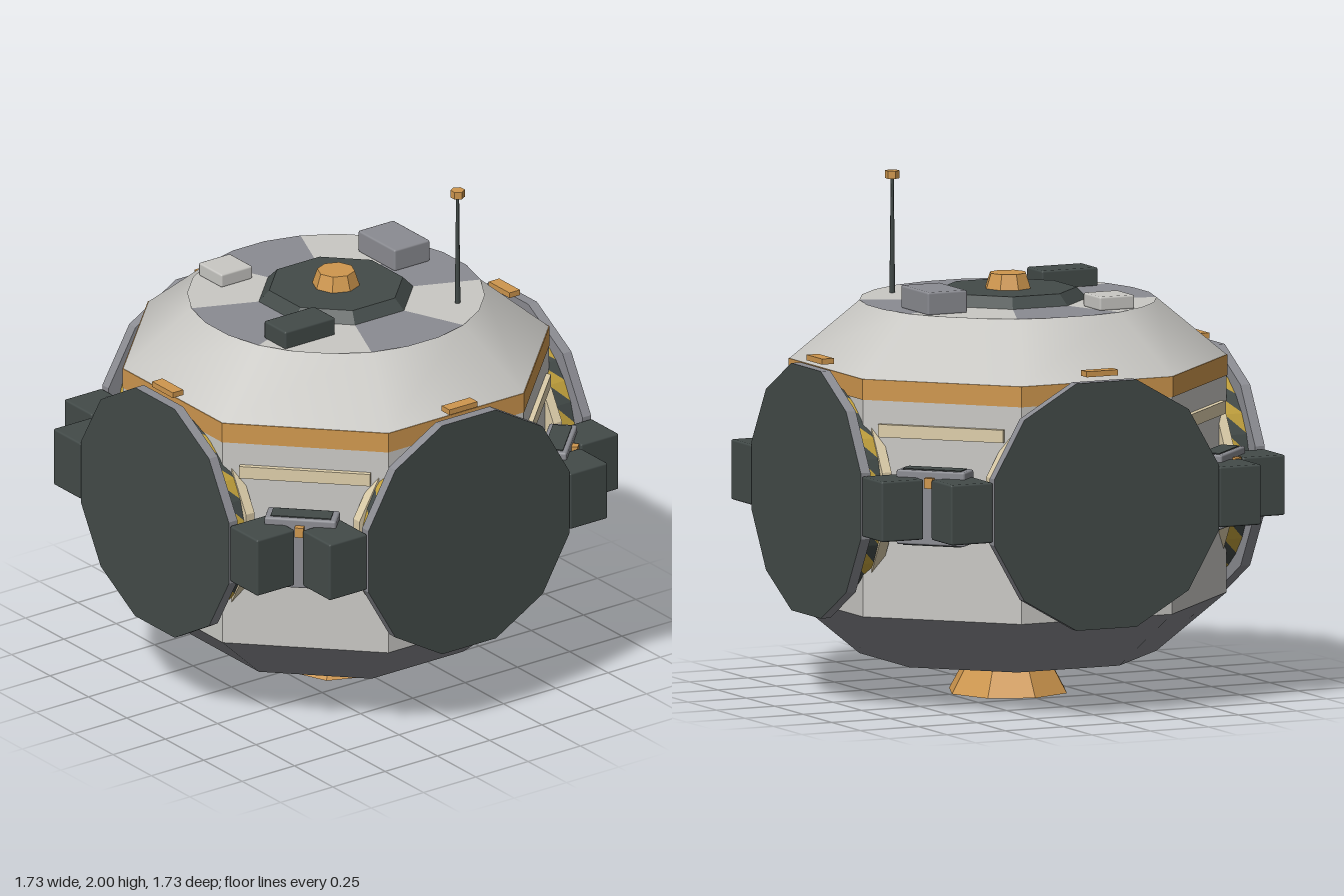
import * as THREE from 'three';
import { RoundedBoxGeometry } from 'three/addons/geometries/RoundedBoxGeometry.js';

const material = (name, color) => {
  const m = new THREE.MeshStandardMaterial({ color });
  m.name = name;
  return m;
};

export function createModel() {
  const light = material('lightGrey', 0xc9c8c4);
  const grey = material('midGrey', 0x8b8c92);
  const dark = material('charcoal', 0x434b49);
  const orange = material('orange', 0xcf974e);
  const beige = material('beige', 0xddceaa);
  const yellow = material('yellow', 0xc2a13c);

  const model = new THREE.Group();
  model.name = 'spaceModule';

  const add = (parent, name, geometry, mat, x = 0, y = 0, z = 0) => {
    const mesh = new THREE.Mesh(geometry, mat);
    mesh.name = name;
    mesh.position.set(x, y, z);
    parent.add(mesh);
    return mesh;
  };
  const flat = (geometry) => {
    const g = geometry.toNonIndexed();
    g.computeVertexNormals();
    // keep material groups of the indexed source
    geometry.groups.forEach((s) => g.groups.length < geometry.groups.length && g.addGroup(s.start, s.count, s.materialIndex));
    return g;
  };
  const box = (w, h, d) => new RoundedBoxGeometry(w, h, d, 1, 0.008);

  // Octagonal tier given by its flat-to-centre distances, flats facing x and z
  const K = 1 / Math.cos(Math.PI / 8);
  const tier = (top, bottom, y0, y1, open = true) => {
    const g = new THREE.CylinderGeometry(top * K, bottom * K, y1 - y0, 8, 1, open, Math.PI / 8);
    return g.translate(0, (y0 + y1) / 2, 0);
  };

  // Hull
  add(model, 'hullWall', flat(tier(0.78, 0.78, 0.375, 1.22)), light);
  add(model, 'hullBand', flat(tier(0.783, 0.783, 1.22, 1.3, false)), orange);
  add(model, 'upperCone', tier(0.53, 0.78, 1.3, 1.525), light);
  add(model, 'lowerCone', tier(0.78, 0.53, 0.15, 0.375), grey);
  const floor = new THREE.CircleGeometry(0.53 * K, 8, Math.PI / 8).rotateX(Math.PI / 2);
  add(model, 'hullFloor', floor, dark, 0, 0.15, 0);

  // Roof of alternating sectors
  for (let i = 0; i < 8; i++) {
    const sector = new THREE.CircleGeometry(0.53 * K, 1, -Math.PI / 8 + (i * Math.PI) / 4, Math.PI / 4);
    add(model, 'roofSector', sector.rotateX(-Math.PI / 2), i % 2 ? light : grey, 0, 1.525, 0);
  }

  // Roof hatch, knob and engine nozzle
  add(model, 'roofHatch', flat(tier(0.245, 0.283, 1.525, 1.568, false)), dark);
  add(model, 'hatchKnob', flat(new THREE.CylinderGeometry(0.073, 0.093, 0.06, 8)), orange, 0, 1.597, 0);
  add(model, 'engineNozzle', flat(new THREE.CylinderGeometry(0.15, 0.24, 0.16, 8)), orange, 0, 0.08, 0);

  // Roof equipment
  add(model, 'darkRoofBox', box(0.24, 0.075, 0.14), dark, -0.35, 1.558, 0.24);
  add(model, 'greyRoofBox', box(0.17, 0.09, 0.24), grey, 0.395, 1.567, -0.16);
  add(model, 'lightRoofBox', box(0.15, 0.055, 0.15), light, -0.245, 1.55, -0.385);
  add(model, 'antennaMast', new THREE.CylinderGeometry(0.006, 0.011, 0.455, 6), dark, 0.328, 1.7475, 0.345);
  add(model, 'antennaTip', flat(new THREE.CylinderGeometry(0.028, 0.028, 0.03, 6)), orange, 0.328, 1.985, 0.345);

  // Slanted stripes round a ring whose axis is z
  const stripes = (r, z0, z1, count, odd) => {
    const step = (Math.PI * 2) / count;
    const pos = [];
    const point = (a, y) => [r * Math.sin(a), y, r * Math.cos(a)];
    for (let i = odd; i < count; i += 2) {
      const a = i * step;
      const tl = point(a + step, z1), tr = point(a + 2 * step, z1);
      const bl = point(a, z0), br = point(a + step, z0);
      pos.push(...tl, ...bl, ...br, ...tl, ...br, ...tr);
    }
    const g = new THREE.BufferGeometry();
    g.setAttribute('position', new THREE.Float32BufferAttribute(pos, 3));
    g.rotateX(Math.PI / 2);
    g.computeVertexNormals();
    return g;
  };
  const disc = (r, z0, z1) => flat(new THREE.CylinderGeometry(r, r, z1 - z0, 12, 1, false, Math.PI / 12))
    .rotateX(Math.PI / 2).translate(0, 0, (z0 + z1) / 2);

  for (let i = 0; i < 4; i++) {
    // Docking port on each main side
    const port = new THREE.Group();
    port.name = 'dockingPort';
    port.position.y = 0.83;
    port.rotation.y = (i * Math.PI) / 2;
    model.add(port);
    add(port, 'portCover', disc(0.498, 0.825, 0.866), [grey, dark, grey]);
    add(port, 'portFlange', disc(0.458, 0.715, 0.755), beige);
    add(port, 'yellowStripes', stripes(0.438, 0.75, 0.83, 32, 0), yellow);
    add(port, 'darkStripes', stripes(0.438, 0.75, 0.83, 32, 1), dark);
    add(port, 'portClip', new THREE.BoxGeometry(0.135, 0.022, 0.05), orange, 0, 0.508, 0.805);

    // Thruster cluster on each diagonal side
    const corner = new THREE.Group();
    corner.name = 'thrusterCorner';
    corner.rotation.y = Math.PI / 4 + (i * Math.PI) / 2;
    model.add(corner);
    add(corner, 'handrail', new THREE.BoxGeometry(0.51, 0.05, 0.03), beige, 0, 1.105, 0.785);
    add(corner, 'thrusterMount', box(0.28, 0.29, 0.11), grey, 0, 0.83, 0.865);
    for (const s of [-1, 1]) {
      add(corner, 'mountInset', new THREE.BoxGeometry(0.235, 0.012, 0.075), dark, 0, 0.83 + s * 0.143, 0.865);
      const pod = add(corner, 'thrusterBox', box(0.18, 0.235, 0.18), dark, s * 0.1414, 0.83, 0.9546);
      pod.rotation.y = Math.PI / 4;
    }
    add(corner, 'mountLatch', new THREE.BoxGeometry(0.035, 0.04, 0.03), orange, 0, 0.93, 0.93);
  }

  return model;
}
